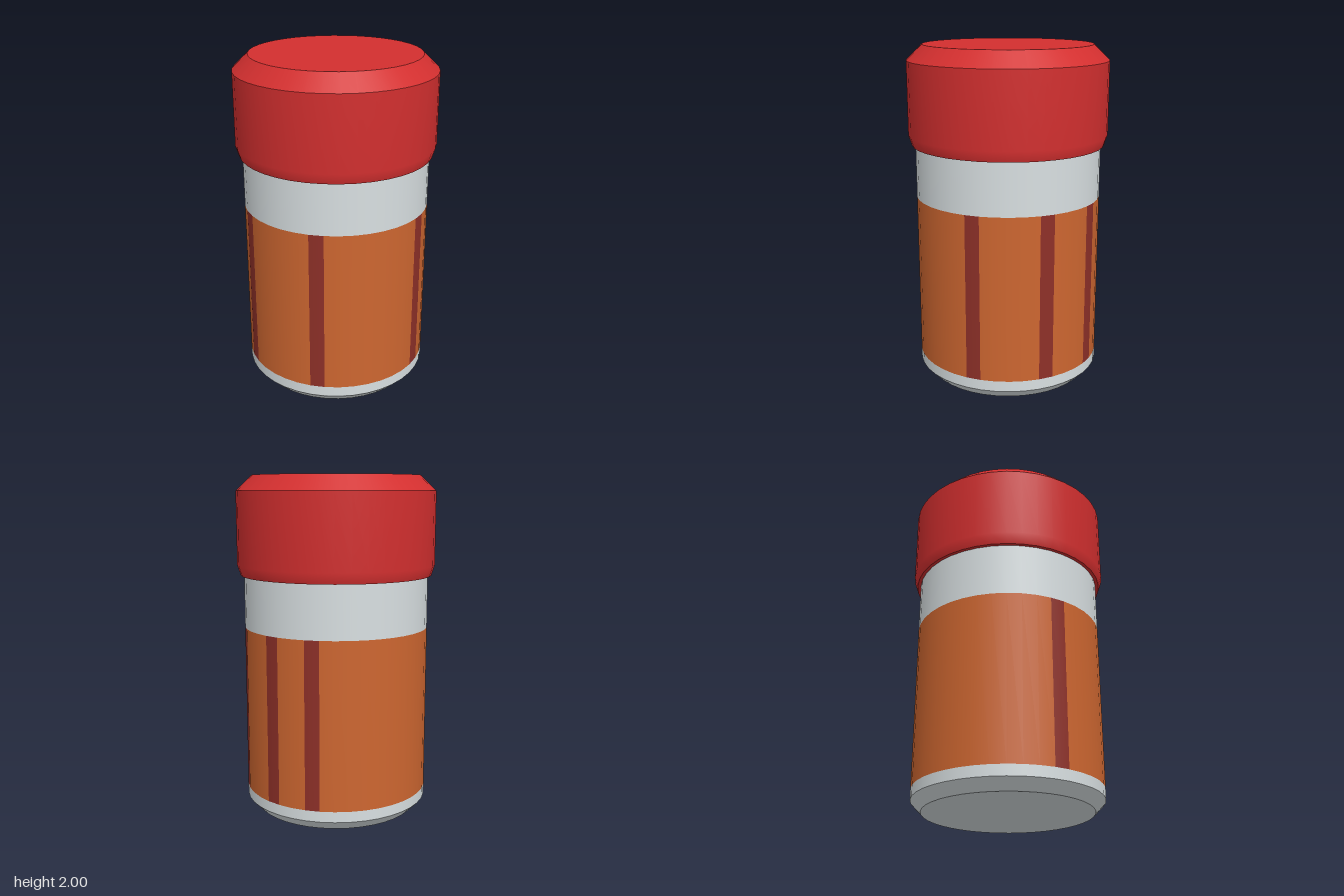
import * as THREE from 'three';

const SIDES = 40;
const STEP = (Math.PI * 2) / SIDES;
const BODY_R = 0.55;

const material = (name, color) => {
  const m = new THREE.MeshStandardMaterial({ color });
  m.name = name;
  return m;
};

export function createModel() {
  const jar = new THREE.Group();
  jar.name = 'jar';
  const red = material('cap red', 0xd32f2f);
  const grey = material('body grey', 0xd8dfe1);
  const orange = material('label orange', 0xcd6630);
  const maroon = material('stripe maroon', 0x8e3028);

  const add = (name, geometry, mat, parent = jar) => {
    const mesh = new THREE.Mesh(geometry, mat);
    mesh.name = name;
    parent.add(mesh);
  };
  // Open ring surface through [radius, y] points, listed from inside/bottom upward
  const ring = (name, points, mat, parent, start = 0, count = SIDES) => add(name,
    new THREE.LatheGeometry(points.map(([r, y]) => new THREE.Vector2(r, y)), count, start * STEP, count * STEP),
    mat, parent);

  // Grey container: base disc, bevel, foot band and neck band
  const body = new THREE.Group();
  body.name = 'body';
  jar.add(body);
  ring('baseDisc', [[0, 0], [0.49, 0]], grey, body);
  ring('baseBevel', [[0.49, 0], [BODY_R, 0.062]], grey, body);
  ring('footBand', [[BODY_R, 0.062], [BODY_R, 0.125]], grey, body);
  ring('neckBand', [[BODY_R, 1.108], [BODY_R, 1.45]], grey, body);

  // Label wrapped round the body, with stripes one facet wide
  const label = new THREE.Group();
  label.name = 'label';
  jar.add(label);
  const wall = [[BODY_R, 0.125], [BODY_R, 1.108]];
  const stripes = [1, 6, 10, 13, 27, 33];
  stripes.forEach((facet, i) => {
    const next = stripes[i + 1] ?? stripes[0] + SIDES;
    ring('labelStripe', wall, maroon, label, facet, 1);
    ring('labelPanel', wall, orange, label, facet + 1, next - facet - 1);
  });

  // Screw cap
  const cap = new THREE.Group();
  cap.name = 'cap';
  jar.add(cap);
  ring('capUnderside', [[0.5, 1.418], [0.57, 1.418]], red, cap);
  ring('capWall', [[0.57, 1.418], [0.59, 1.48], [0.59, 1.91]], red, cap);
  ring('capBevel', [[0.59, 1.91], [0.498, 2]], red, cap);
  ring('capTop', [[0.498, 2], [0, 2]], red, cap);
  return jar;
}
